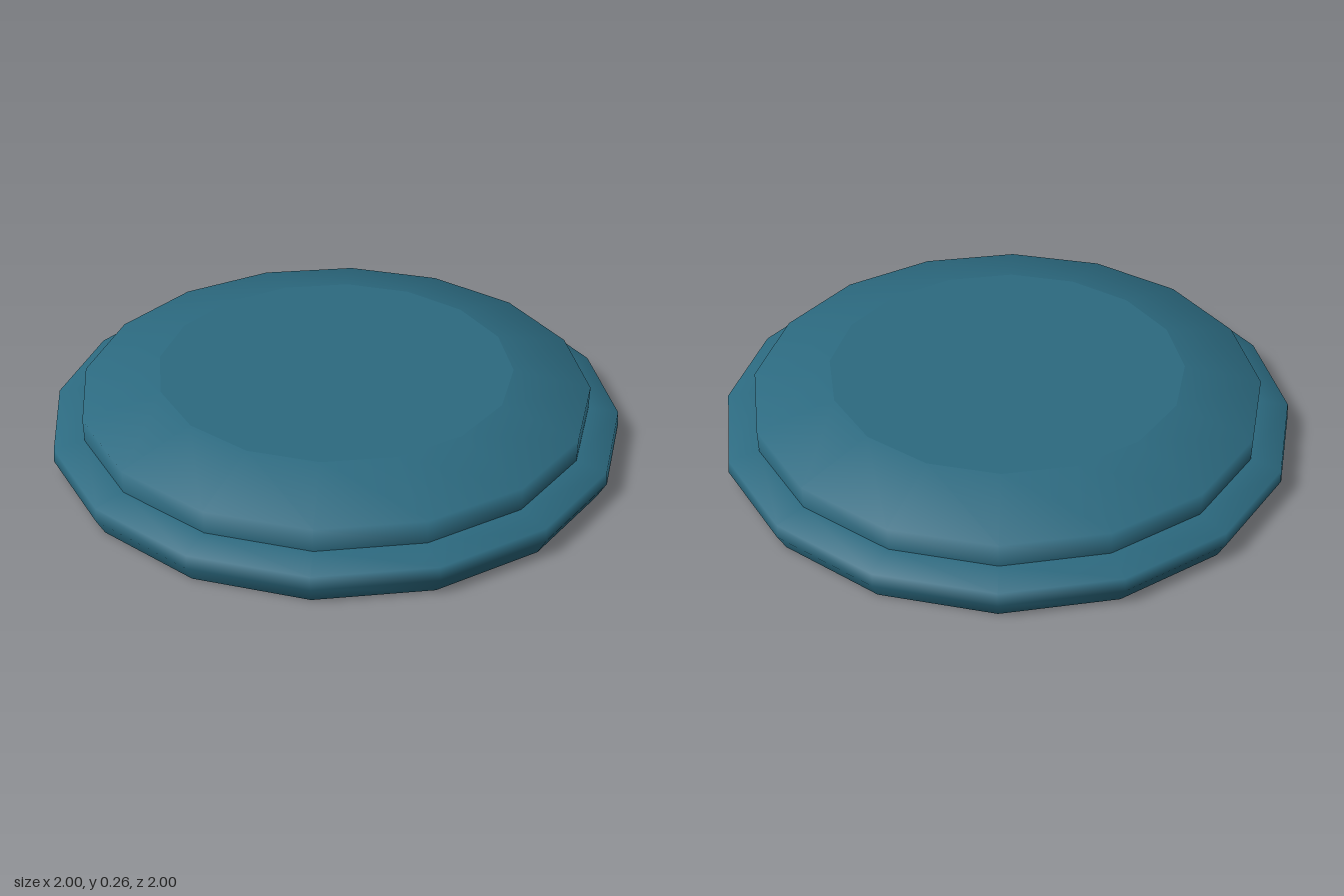
import * as THREE from 'three';

const SIDES = 16;
const material = new THREE.MeshStandardMaterial({ color: 0x2c6a80 });

// Sixteen-sided turned surface; each strip is smooth, with creases between strips
function turned(name, profile) {
  const points = profile.map(([r, y]) => new THREE.Vector2(r, y));
  const mesh = new THREE.Mesh(new THREE.LatheGeometry(points, SIDES), material);
  mesh.name = name;
  return mesh;
}

export function createModel() {
  const group = new THREE.Group();
  group.name = 'roundButton';
  group.add(
    turned('underside', [[0, 0], [0.97, 0]]),
    // Flared rim with a gently rising ledge
    turned('baseRim', [[0.97, 0], [1, 0.06], [0.995, 0.105], [0.89, 0.12]]),
    // Upright wall and bevelled shoulder
    turned('raisedCap', [[0.89, 0.12], [0.89, 0.2], [0.62, 0.26]]),
    turned('topFace', [[0.62, 0.26], [0, 0.26]])
  );
  return group;
}
